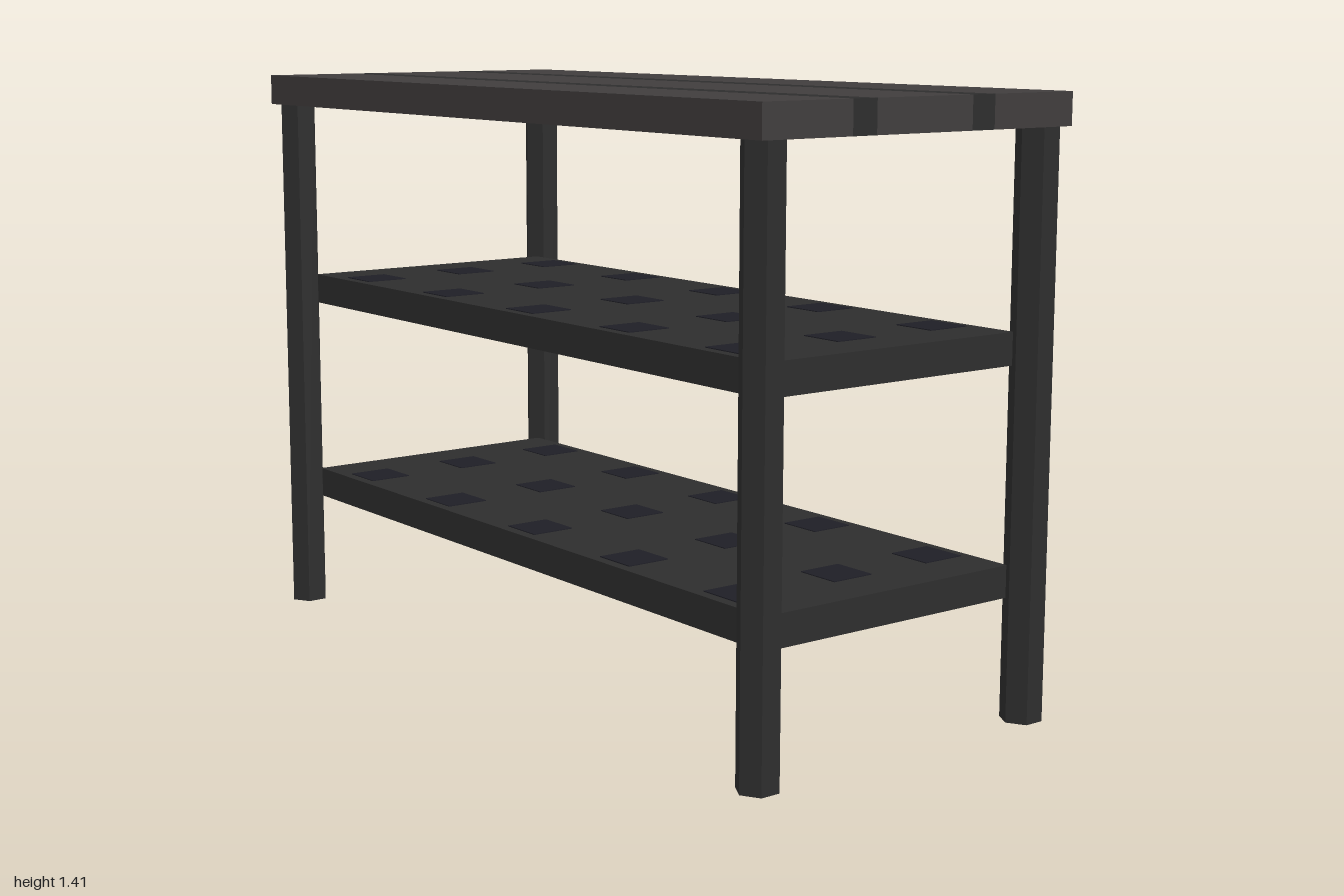
import * as THREE from 'three';

const mat = (color) => new THREE.MeshStandardMaterial({ color, flatShading: true });

export function createModel() {
  const model = new THREE.Group();
  model.name = 'shelvedTable';
  const plankMat = mat(0x403d3d);
  const frameMat = mat(0x2d2d2d);
  const patchMat = mat(0x1e1e26);

  const add = (parent, name, geometry, material, x, y, z) => {
    const mesh = new THREE.Mesh(geometry, material);
    mesh.name = name;
    mesh.position.set(x, y, z);
    parent.add(mesh);
    return mesh;
  };

  // Table top: three wide planks with two dark strips set flush between them
  const top = new THREE.Group();
  top.name = 'tableTop';
  model.add(top);
  const cuts = [-0.437, -0.2, -0.135, 0.135, 0.2, 0.437];
  for (let i = 0; i < 5; i++) {
    const a = cuts[i], b = cuts[i + 1], strip = i % 2 === 1;
    add(top, strip ? 'darkStrip' : 'plank', new THREE.BoxGeometry(2, 0.075, b - a),
      strip ? frameMat : plankMat, 0, 1.3725, (a + b) / 2);
  }

  // Hexagonal legs, flat sides facing left and right
  const legGeo = new THREE.CylinderGeometry(0.0485, 0.0485, 1.335, 6);
  for (const sx of [-1, 1]) {
    for (const sz of [-1, 1]) {
      const name = (sz > 0 ? 'front' : 'back') + (sx > 0 ? 'Left' : 'Right') + 'Leg';
      add(model, name, legGeo, frameMat, sx * 0.947, 0.6675, sz * 0.388);
    }
  }

  // Two shelves, each with a grid of dark square patches on its upper face
  const shelfGeo = new THREE.BoxGeometry(1.85, 0.075, 0.71);
  const patchGeo = new THREE.BoxGeometry(0.11, 0.004, 0.11);
  for (const [name, y] of [['lowerShelf', 0.32], ['upperShelf', 0.847]]) {
    const shelf = new THREE.Group();
    shelf.name = name;
    shelf.position.y = y;
    model.add(shelf);
    add(shelf, 'shelfBoard', shelfGeo, frameMat, 0, 0, 0);
    for (let i = -2; i <= 2; i++) {
      for (let j = -1; j <= 1; j++) {
        add(shelf, 'squarePatch', patchGeo, patchMat, i * 0.375, 0.0375, j * 0.275);
      }
    }
  }
  return model;
}
